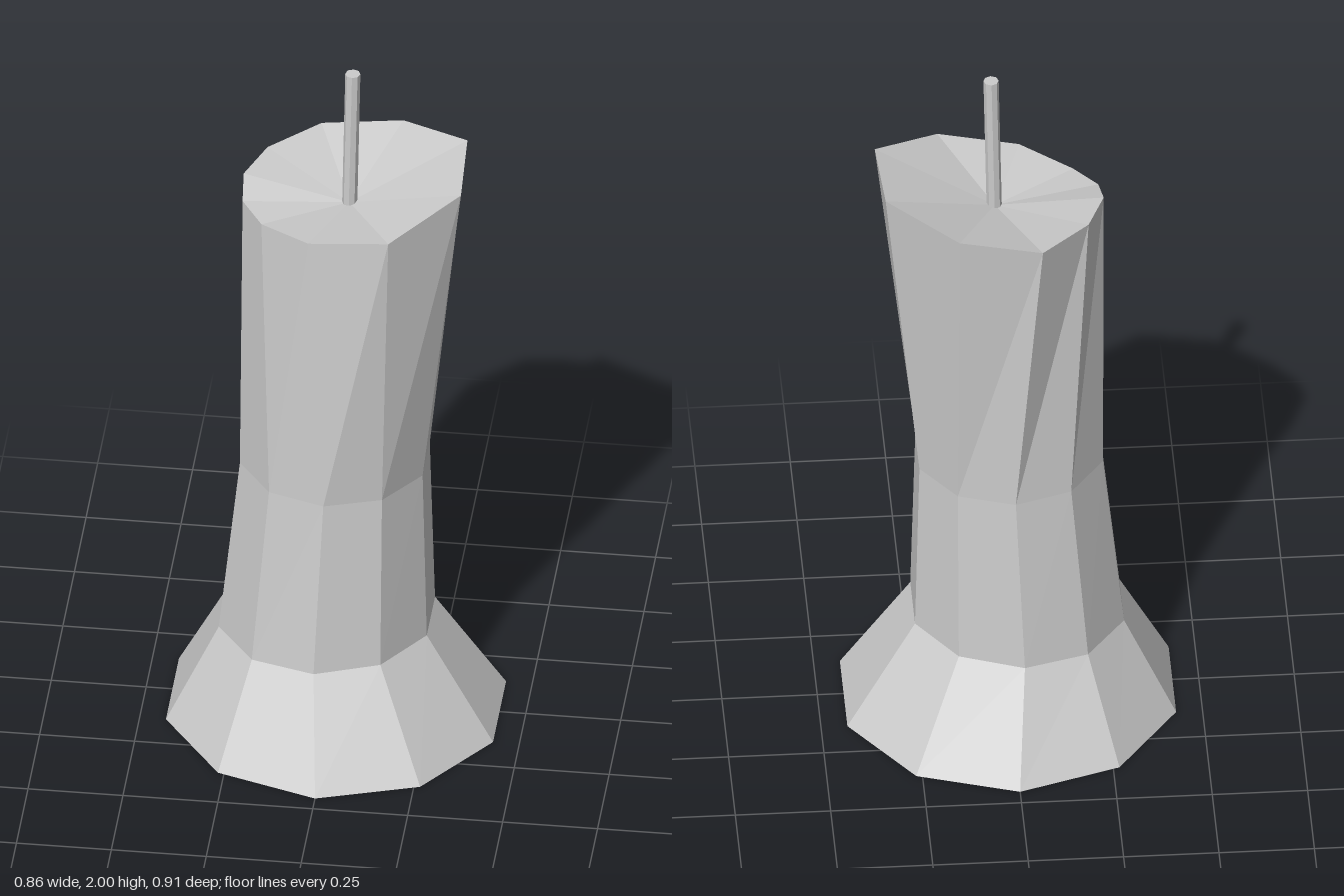
import * as THREE from 'three';

const SIDES = 10;

// Regular ten-sided ring, first corner facing +z; tilt raises the +x side
function ring(cx, y, rx, rz, tilt = 0) {
  return Array.from({ length: SIDES }, (_, i) => {
    const a = (i / SIDES) * Math.PI * 2;
    return [cx + rx * Math.sin(a), y + tilt * Math.sin(a), rz * Math.cos(a)];
  });
}

// Faceted skin through a stack of rings, closed by a fan at each end
function loft(rings, bottomCentre, topCentre) {
  const points = [...rings.flat(), bottomCentre, topCentre];
  const bottom = rings.length * SIDES, top = bottom + 1;
  const last = (rings.length - 1) * SIDES;
  const index = [];
  for (let i = 0; i < SIDES; i++) {
    const j = (i + 1) % SIDES;
    for (let r = 0; r < last; r += SIDES) {
      index.push(r + i, r + j, r + SIDES + j, r + i, r + SIDES + j, r + SIDES + i);
    }
    index.push(bottom, j, i, top, last + i, last + j);
  }
  const geometry = new THREE.BufferGeometry();
  geometry.setAttribute('position', new THREE.Float32BufferAttribute(points.flat(), 3));
  geometry.setIndex(index);
  const flat = geometry.toNonIndexed();
  flat.computeVertexNormals();
  return flat;
}

export function createModel() {
  const group = new THREE.Group();
  const material = new THREE.MeshStandardMaterial({ color: 0xcccccc, flatShading: true });

  // Uneven melted rim, counter-clockwise from the front
  const rim = [
    [-0.045, 1.61, 0.23], [0.168, 1.64, 0.25], [0.342, 1.71, 0.105], [0.33, 1.72, -0.133],
    [0.145, 1.675, -0.268], [-0.072, 1.64, -0.28], [-0.2, 1.635, -0.16],
    [-0.248, 1.63, -0.04], [-0.24, 1.605, 0.05], [-0.18, 1.595, 0.135],
  ];

  // Wax body: flared foot, narrow waist, leaning top with a sunken centre
  const wax = new THREE.Mesh(loft([
    ring(0, 0, 0.453, 0.453),
    ring(-0.024, 0.28, 0.288, 0.288, 0.01),
    ring(-0.003, 0.79, 0.253, 0.25),
    rim,
  ], [0, 0, 0], [0.035, 1.59, 0]), material);
  wax.name = 'waxBody';
  group.add(wax);

  // Wick, leaning very slightly to +x
  const wickGeometry = new THREE.CylinderGeometry(0.02, 0.02, 0.42, 8);
  wickGeometry.translate(0, 1.79, 0);
  const p = wickGeometry.attributes.position;
  for (let i = 0; i < p.count; i++) {
    p.setX(i, p.getX(i) + 0.036 + (p.getY(i) - 1.58) * 0.02);
  }
  const wick = new THREE.Mesh(wickGeometry, material);
  wick.name = 'wick';
  group.add(wick);

  return group;
}
